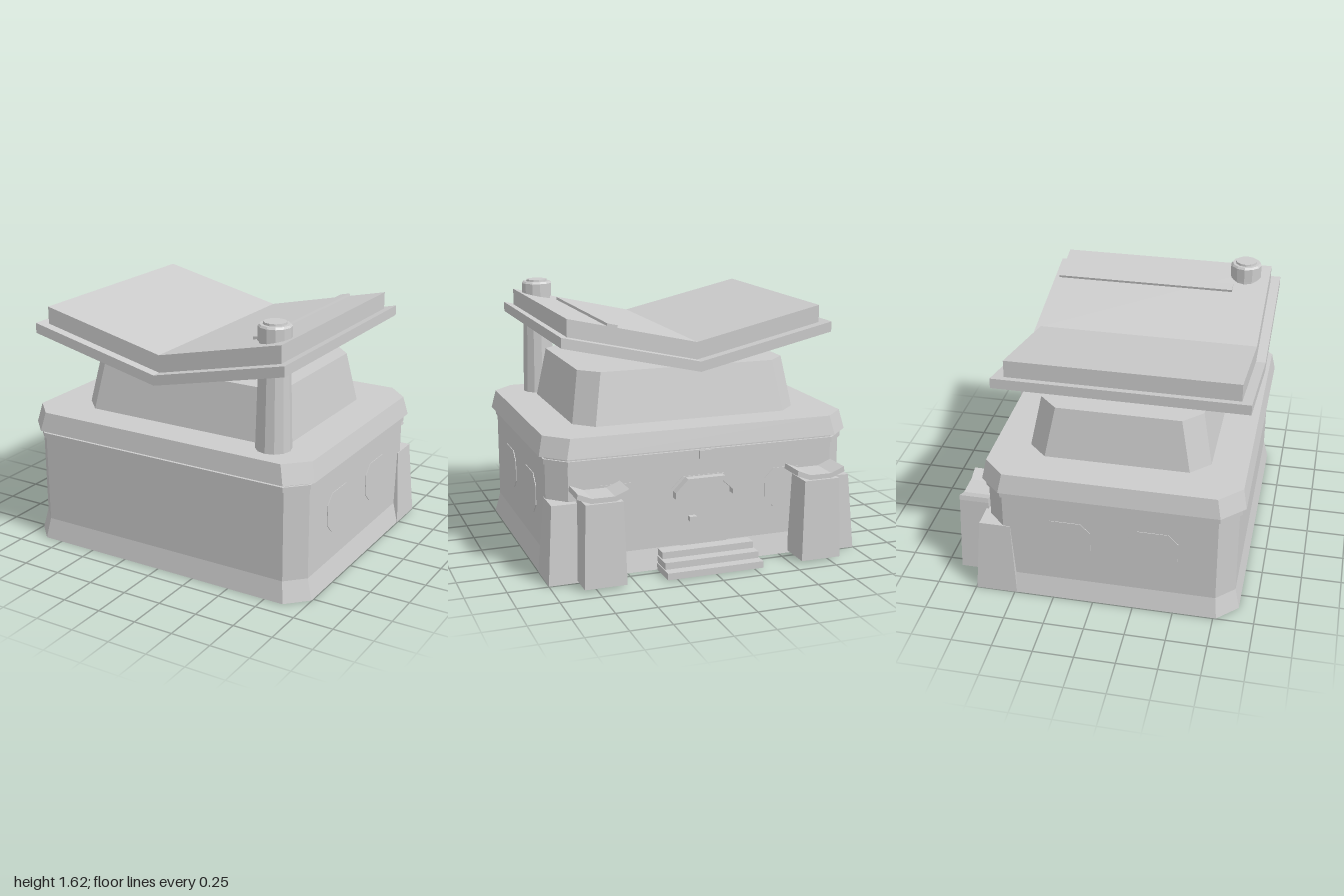
import * as THREE from 'three';

const stone = new THREE.MeshStandardMaterial({ color: 0xcccccc, side: THREE.DoubleSide });
stone.name = 'stone';

// Corner-cut rectangle ring: half width, half depth, corner cut, height
function ring(hx, hz, c, y) {
  return [[hx, -hz + c], [hx, hz - c], [hx - c, hz], [-hx + c, hz],
    [-hx, hz - c], [-hx, -hz + c], [-hx + c, -hz], [hx - c, -hz]].map(([x, z]) => [x, y, z]);
}

// Flat-faced skin through a stack of rings, with optional end caps
function loft(rings, capBottom, capTop) {
  const p = [];
  const n = rings[0].length;
  for (let r = 0; r < rings.length - 1; r++) {
    for (let i = 0; i < n; i++) {
      const j = (i + 1) % n;
      const [a, b, c, d] = [rings[r][i], rings[r][j], rings[r + 1][j], rings[r + 1][i]];
      p.push(...a, ...d, ...b, ...b, ...d, ...c);
    }
  }
  const cap = (q, up) => {
    for (let i = 1; i < n - 1; i++) p.push(...q[0], ...(up ? q[i + 1] : q[i]), ...(up ? q[i] : q[i + 1]));
  };
  if (capBottom) cap(rings[0], false);
  if (capTop) cap(rings[rings.length - 1], true);
  const g = new THREE.BufferGeometry();
  g.setAttribute('position', new THREE.Float32BufferAttribute(p, 3));
  g.computeVertexNormals();
  return g;
}

function extrude(points, depth) {
  const shape = new THREE.Shape(points.map(([x, y]) => new THREE.Vector2(x, y)));
  return new THREE.ExtrudeGeometry(shape, { depth, bevelEnabled: false });
}

// Corner-cut panel centred on the origin, facing +z
function panel(w, h, c) {
  const x = w / 2, y = h / 2;
  return extrude([[x, -y + c], [x, y - c], [x - c, y], [-x + c, y],
    [-x, y - c], [-x, -y + c], [-x + c, -y], [x - c, -y]], 0.004);
}

function cylinder(rTop, rBottom, y0, y1) {
  const g = new THREE.CylinderGeometry(rTop, rBottom, y1 - y0, 12).toNonIndexed();
  g.translate(0, (y0 + y1) / 2, 0);
  g.computeVertexNormals();
  return g;
}

export function createModel() {
  const model = new THREE.Group();
  model.name = 'pavilion';
  const add = (name, geometry, x = 0, y = 0, z = 0) => {
    const m = new THREE.Mesh(geometry, stone);
    m.name = name;
    m.position.set(x, y, z);
    model.add(m);
    return m;
  };
  const cz = 0.0975; // centre of the main block
  const backWall = cz - 0.768;

  // Main block, from hollow skirt to cornice
  add('skirt', loft([ring(0.997, 0.797, 0.125, 0), ring(0.963, 0.768, 0.11, 0.13)]), 0, 0, cz);
  add('walls', loft([ring(0.963, 0.768, 0.11, 0.13), ring(0.963, 0.768, 0.11, 0.75)], true, true), 0, 0, cz);
  add('band', loft([ring(0.973, 0.785, 0.118, 0.695), ring(0.973, 0.785, 0.118, 0.727)], true, true), 0, 0, cz);
  add('cornice', loft([ring(1, 0.805, 0.135, 0.745), ring(0.973, 0.782, 0.135, 0.865)], true, true), 0, 0, cz);
  add('upperTier', loft([ring(0.733, 0.56, 0.115, 0.865), ring(0.68, 0.498, 0.115, 1.185)], false, true), 0, 0, cz);

  // Two stacked V-shaped roof slabs
  const vee = (hx, centre, edge, t) => [[-hx, edge], [0, centre], [hx, edge], [hx, edge + t], [0, centre + t], [-hx, edge + t]];
  add('lowerRoof', extrude(vee(0.863, 1.19, 1.385, 0.063), 1.515), 0, 0, -0.62);
  add('upperRoof', extrude(vee(0.81, 1.253, 1.437, 0.107), 1.385), 0, 0, -0.55);
  const strip = add('roofStrip', new THREE.BoxGeometry(0.065, 0.025, 1.16), 0.535, 1.485, 0.03);
  strip.rotation.z = 0.225;

  // Chimney
  const chimney = [
    ['chimneyColumn', 0.09, 0.108, 0.865, 1.53],
    ['chimneyCap', 0.1, 0.1, 1.515, 1.6],
    ['chimneyBevel', 0.09, 0.1, 1.6, 1.612],
    ['chimneyLid', 0.068, 0.07, 1.612, 1.625],
  ];
  for (const [name, r1, r0, y0, y1] of chimney) add(name, cylinder(r1, r0, y0, y1), 0.684, 0, 0.678);

  for (const s of [-1, 1]) {
    // Side and back windows
    for (const z of [0.365, -0.172]) {
      add('sideWindow', panel(0.31, 0.25, 0.06), s * 0.963, 0.435, z).rotation.y = s * Math.PI / 2;
    }
    add('backWindow', panel(0.31, 0.25, 0.06), s * 0.56, 0.435, backWall).rotation.y = Math.PI;

    // Tapered corner buttresses
    add('buttress', loft([ring(0.13, 0.13, 0, 0), ring(0.097, 0.097, 0, 0.48)], false, true), s * 0.87, 0, -0.615);

    // Gate pillars with upswept caps
    add('pillar', loft([ring(0.13, 0.108, 0, 0.012), ring(0.115, 0.093, 0, 0.52)], false, true), s * 0.695, 0, -0.792);
    add('pillarCap', extrude([[-0.16, 0.553], [-0.07, 0.518], [0.07, 0.518], [0.16, 0.553],
      [0.155, 0.585], [0.07, 0.55], [-0.07, 0.55], [-0.155, 0.585]], 0.183), s * 0.695, 0, -0.868);
  }

  // Back door with hood, handle and plaque
  add('door', panel(0.42, 0.45, 0.07), 0, 0.34, backWall).rotation.y = Math.PI;
  add('doorHood', extrude([[-0.2, 0.44], [-0.2, 0.48], [-0.12, 0.56], [0.12, 0.56], [0.2, 0.48], [0.2, 0.44],
    [0.17, 0.44], [0.17, 0.47], [0.105, 0.53], [-0.105, 0.53], [-0.17, 0.47], [-0.17, 0.44]], 0.055), 0, 0, -0.725);
  add('doorHandle', new THREE.BoxGeometry(0.045, 0.03, 0.04), 0.08, 0.3, backWall - 0.02);
  add('plaque', new THREE.BoxGeometry(0.08, 0.05, 0.012), 0, 0.7, -0.698);

  // Back steps
  const back = [-0.89, -0.825, -0.755];
  back.forEach((z, i) => {
    const depth = -0.66 - z;
    add('step', new THREE.BoxGeometry(0.62 - i * 0.012, 0.042, depth), 0, 0.021 + i * 0.042, z + depth / 2);
  });
  return model;
}
